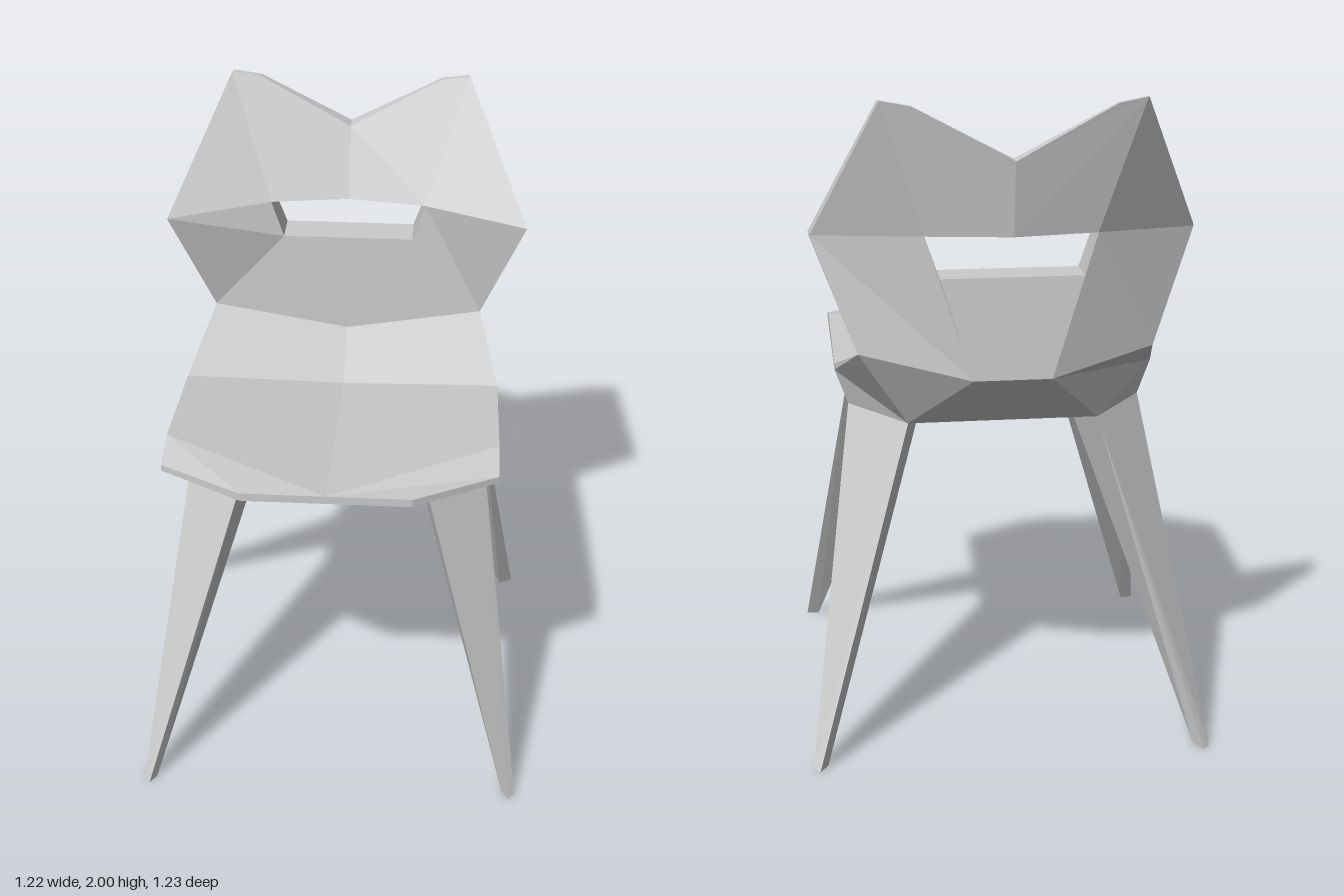
import * as THREE from 'three';
import { ConvexGeometry } from 'three/addons/geometries/ConvexGeometry.js';

const material = new THREE.MeshStandardMaterial({ color: 0xcccccc, flatShading: true });

// Facets are given for the +x half as corner loops and mirrored to the other side.
function facetedMesh(name, halfFacets) {
  const positions = [];
  const mirror = ([x, y, z]) => [-x, y, z];
  const fan = (loop) => {
    for (let i = 1; i < loop.length - 1; i++) positions.push(...loop[0], ...loop[i], ...loop[i + 1]);
  };
  for (const loop of halfFacets) {
    fan(loop);
    fan(loop.map(mirror).reverse());
  }
  const geometry = new THREE.BufferGeometry();
  geometry.setAttribute('position', new THREE.Float32BufferAttribute(positions, 3));
  geometry.computeVertexNormals();
  const mesh = new THREE.Mesh(geometry, material);
  mesh.name = name;
  return mesh;
}

const onCentre = ([, y, z]) => [0, y, z];

// Corners shared by the seat and the backrest
const hip = [0.44, 1.24, -0.4];
const crease = [0, 1.165, -0.4];
const tail = [0.115, 1.19, -0.55];
const tailMid = onCentre(tail);

// Corners of the seat's flat bottom, where the legs meet it
const frontOuter = [0.46, 1, 0.07], frontInner = [0.28, 1, 0.28];
const rearOuter = [0.46, 1, -0.1], rearInner = [0.29, 1, -0.33];

function createSeat() {
  // upper surface and rim
  const valley = [0, 1.075, -0.18];
  const sideBack = [0.5, 1.13, -0.1], sideCrest = [0.5, 1.175, 0.34];
  const cornerTop = [0.5, 1.15, 0.47], noseTop = [0.25, 1.155, 0.615];
  const noseTopMid = onCentre(noseTop);
  const sideLow = [0.5, 1.11, -0.1], cornerLow = [0.5, 1.13, 0.47], noseLow = [0.25, 1.13, 0.615];
  const noseLowMid = onCentre(noseLow);
  const frontMid = onCentre(frontInner), rearMid = onCentre(rearInner);

  return facetedMesh('seat', [
    // top
    [crease, valley, sideBack, hip],
    [valley, noseTopMid, sideCrest, sideBack],
    [noseTopMid, noseTop, cornerTop, sideCrest],
    // rim
    [noseTop, noseTopMid, noseLowMid, noseLow],
    [cornerTop, noseTop, noseLow, cornerLow],
    [sideLow, sideBack, sideCrest, cornerTop, cornerLow],
    [sideLow, hip, sideBack],
    // sloping underside
    [noseLow, noseLowMid, frontMid, frontInner],
    [cornerLow, noseLow, frontInner, frontOuter],
    [sideLow, cornerLow, frontOuter, rearOuter],
    [sideLow, rearOuter, rearInner],
    [hip, sideLow, rearInner, tail],
    [tail, rearInner, rearMid, tailMid],
    // flat bottom
    [rearMid, rearInner, rearOuter, frontOuter, frontInner, frontMid],
  ]);
}

function createBackrest() {
  // front and back corners of each outline point
  const wingF = [0.575, 1.59, -0.3], wingB = [0.57, 1.585, -0.33];
  const peakF = [0.38, 2, -0.54], peakB = [0.375, 2, -0.56];
  const shoulderF = [0.29, 1.985, -0.55], shoulderB = [0.29, 1.985, -0.57];
  const notchF = [0, 1.83, -0.53], notchB = [0, 1.83, -0.585];
  // handle slot
  const slotLowF = [0.21, 1.49, -0.41], slotLowB = [0.21, 1.49, -0.53];
  const slotTopF = [0.25, 1.61, -0.41], slotTopB = [0.25, 1.61, -0.51];
  const slotLowMidF = onCentre(slotLowF), slotLowMidB = onCentre(slotLowB);
  const slotTopMidF = [0, 1.61, -0.45], slotTopMidB = [0, 1.61, -0.55];

  return facetedMesh('backrest', [
    // front
    [crease, hip, slotLowF, slotLowMidF],
    [hip, wingF, slotTopF, slotLowF],
    [slotTopF, wingF, peakF],
    [slotTopF, peakF, shoulderF, notchF, slotTopMidF],
    // back
    [slotLowMidB, slotLowB, tail, tailMid],
    [tail, slotLowB, slotTopB],
    [tail, slotTopB, wingB, hip],
    [peakB, wingB, slotTopB],
    [slotTopB, slotTopMidB, notchB, shoulderB, peakB],
    // outer edge
    [hip, wingB, wingF],
    [wingF, wingB, peakB, peakF],
    [peakF, peakB, shoulderB, shoulderF],
    [shoulderF, shoulderB, notchB, notchF],
    // slot walls
    [slotLowMidF, slotLowF, slotLowB, slotLowMidB],
    [slotTopMidF, slotTopMidB, slotTopB, slotTopF],
    [slotLowF, slotTopF, slotTopB, slotLowB],
  ]);
}

// Splayed leg with a triangular section tapering to a small foot
function createLeg(name, corners, side) {
  const points = corners.map(([x, y, z]) => new THREE.Vector3(x * side, y, z));
  const mesh = new THREE.Mesh(new ConvexGeometry(points), material);
  mesh.name = name;
  return mesh;
}

export function createModel() {
  const chair = new THREE.Group();
  chair.name = 'chair';
  chair.add(createSeat(), createBackrest());

  const frontLeg = [frontOuter, frontInner, [0.23, 1, 0.06],
    [0.6, 0, 0.565], [0.58, 0, 0.59], [0.56, 0, 0.56]];
  const rearLeg = [rearOuter, rearInner, [0.23, 1, -0.11],
    [0.61, 0, -0.595], [0.59, 0, -0.615], [0.565, 0, -0.575]];
  for (const [label, side] of [['Left', 1], ['Right', -1]]) {
    chair.add(createLeg('frontLeg' + label, frontLeg, side));
    chair.add(createLeg('rearLeg' + label, rearLeg, side));
  }
  return chair;
}
